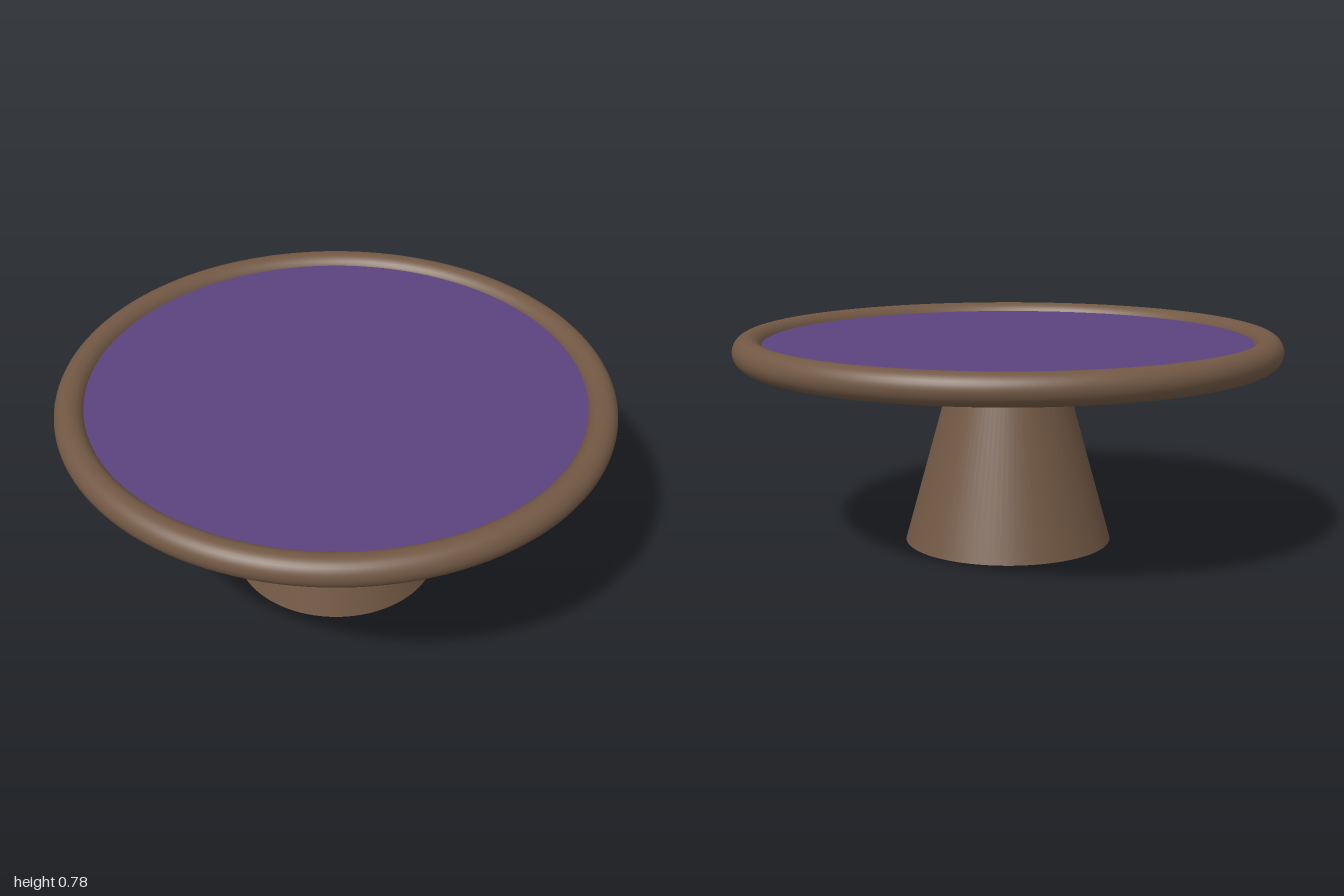
import * as THREE from 'three';

const wood = new THREE.MeshStandardMaterial({ name: 'brown wood', color: 0x725844 });
const felt = new THREE.MeshStandardMaterial({ name: 'purple felt', color: 0x5b437f });

const RIM_Y = 0.727;
const RIM_RADIUS = 0.945;
const TUBE = 0.055;
const TOP_Y = 0.75;
const UNDER_Y = 0.686;

function part(group, name, geometry, material, y) {
  const mesh = new THREE.Mesh(geometry, material);
  mesh.name = name;
  mesh.position.y = y;
  group.add(mesh);
  return mesh;
}

export function createModel() {
  const table = new THREE.Group();
  table.name = 'roundTable';

  // Tapered pedestal, standing on the floor and meeting the underside
  part(table, 'pedestal', new THREE.CylinderGeometry(0.193, 0.383, UNDER_Y, 96), wood, UNDER_Y / 2);

  // Flat playing surface, its edge hidden inside the rim
  const thickness = TOP_Y - UNDER_Y;
  part(table, 'tabletop', new THREE.CylinderGeometry(RIM_RADIUS, RIM_RADIUS, thickness, 96), felt, UNDER_Y + thickness / 2);

  // Rounded rim
  const rim = new THREE.TorusGeometry(RIM_RADIUS, TUBE, 32, 128).rotateX(Math.PI / 2);
  part(table, 'rim', rim, wood, RIM_Y);

  return table;
}
